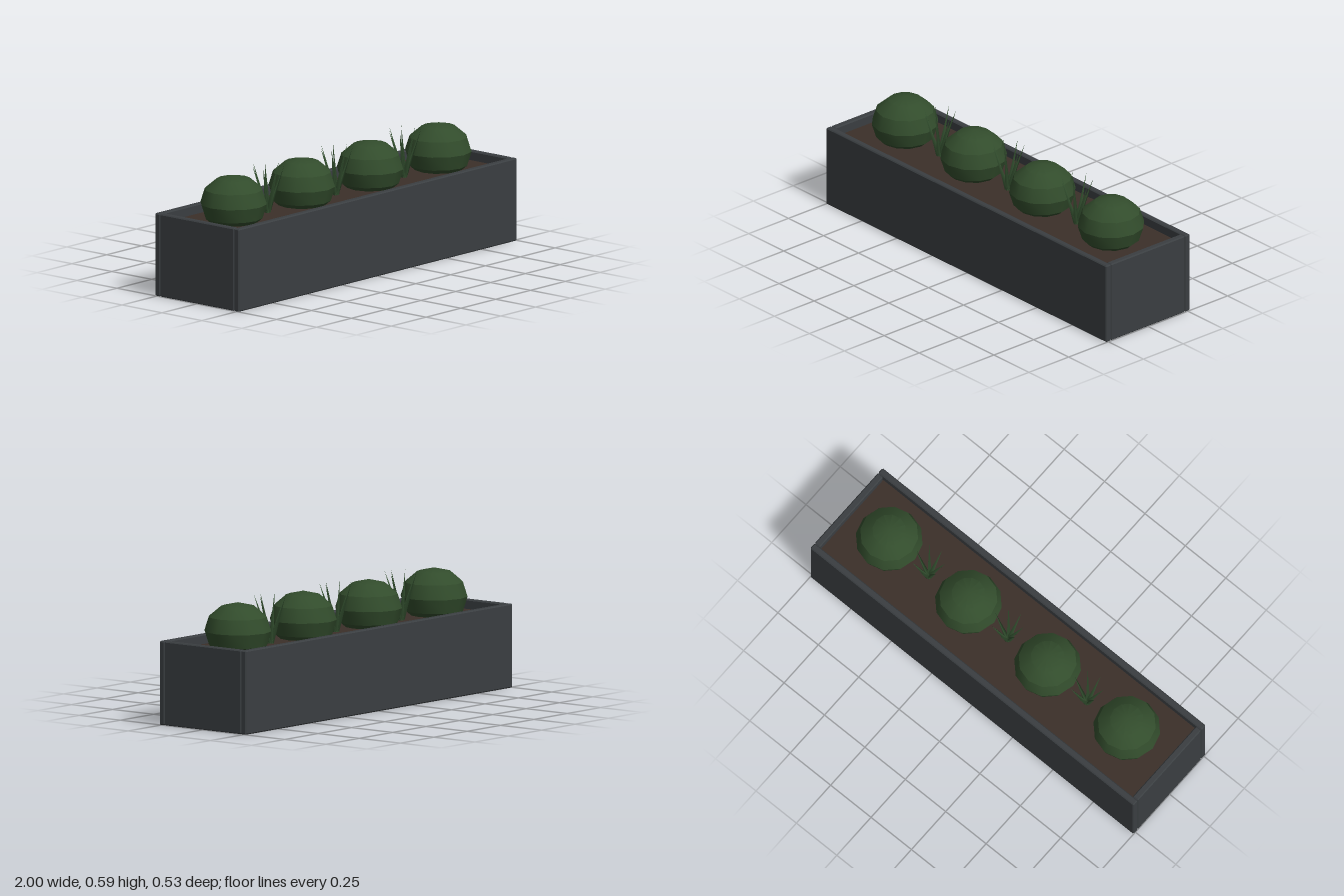
import * as THREE from 'three';
import { ConvexGeometry } from 'three/addons/geometries/ConvexGeometry.js';
import { toCreasedNormals } from 'three/addons/utils/BufferGeometryUtils.js';

const paint = (color) => new THREE.MeshStandardMaterial({ color });

// Box with flat chamfered edges: three corner points around each of the eight corners
function chamferedBox(width, height, depth, c) {
  const points = [];
  for (const x of [-width / 2, width / 2])
    for (const y of [-height / 2, height / 2])
      for (const z of [-depth / 2, depth / 2]) {
        const ix = x - Math.sign(x) * c, iy = y - Math.sign(y) * c, iz = z - Math.sign(z) * c;
        points.push(
          new THREE.Vector3(x, iy, iz),
          new THREE.Vector3(ix, y, iz),
          new THREE.Vector3(ix, iy, z));
      }
  return new ConvexGeometry(points);
}

export function createModel() {
  const model = new THREE.Group();
  const panelMat = paint(0x3a3e41);
  const soilMat = paint(0x3b2f29);
  const shrubMat = paint(0x324c2c);
  const grassMat = paint(0x33502f);

  const add = (parent, name, geometry, material, x = 0, y = 0, z = 0) => {
    const mesh = new THREE.Mesh(geometry, material);
    mesh.name = name;
    mesh.position.set(x, y, z);
    parent.add(mesh);
    return mesh;
  };

  // Planter box: long panels cover the ends of the short ones
  const longPanel = chamferedBox(2, 0.4, 0.032, 0.005);
  const endPanel = chamferedBox(0.032, 0.4, 0.464, 0.005);
  add(model, 'frontPanel', longPanel, panelMat, 0, 0.2, 0.248);
  add(model, 'backPanel', longPanel, panelMat, 0, 0.2, -0.248);
  add(model, 'leftPanel', endPanel, panelMat, 0.984, 0.2, 0);
  add(model, 'rightPanel', endPanel, panelMat, -0.984, 0.2, 0);

  // Soil filling the box
  add(model, 'soil', new THREE.BoxGeometry(1.94, 0.351, 0.468), soilMat, 0, 0.1795, 0);

  // Clipped round shrubs, slightly squashed, with creased rings
  const shrub = toCreasedNormals(
    new THREE.SphereGeometry(0.16, 12, 6).scale(1, 0.85, 1), 0.53);
  for (let i = 0; i < 4; i++) {
    add(model, 'shrub', shrub, shrubMat, -0.735 + i * 0.49, 0.443, 0);
  }

  // Grass tufts: seven thin three-sided blades leaning outward from one root
  const spread = 0.079, rise = 0.237;
  const length = Math.hypot(spread, rise);
  const blade = new THREE.ConeGeometry(0.014, length, 3)
    .translate(0, length / 2, 0)
    .rotateZ(-Math.atan2(spread, rise));
  for (let i = 0; i < 3; i++) {
    const tuft = new THREE.Group();
    tuft.name = 'grassTuft';
    tuft.position.set((i - 1) * 0.49, 0.352, 0);
    for (let k = 0; k < 7; k++) {
      add(tuft, 'grassBlade', blade, grassMat).rotation.y = (k / 7) * Math.PI * 2;
    }
    model.add(tuft);
  }

  return model;
}
